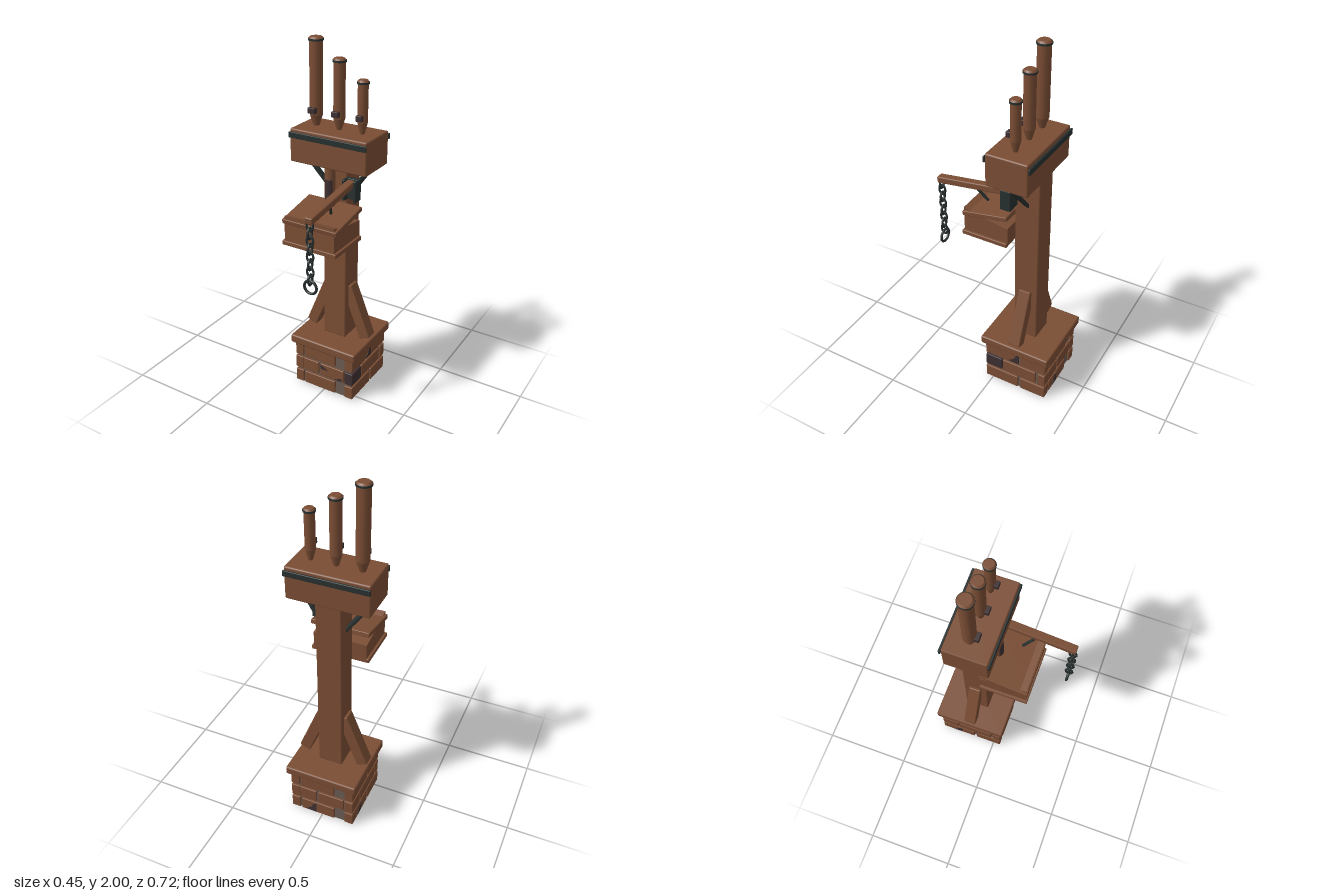
import * as THREE from 'three';
import { RoundedBoxGeometry } from 'three/addons/geometries/RoundedBoxGeometry.js';

const material = (name, color) => {
  const m = new THREE.MeshStandardMaterial({ color });
  m.name = name;
  return m;
};

export function createModel() {
  const model = new THREE.Group();
  model.name = 'whistlePost';
  const wood = material('rust brown', 0x7a4d34);
  const iron = material('dark iron', 0x27302f);
  const soot = material('sooty brown', 0x3d2f31);
  const mortar = material('grey mortar', 0x695b52);
  const V = (x, y, z) => new THREE.Vector3(x, y, z);

  const add = (name, geometry, mat, x = 0, y = 0, z = 0, parent = model) => {
    const mesh = new THREE.Mesh(geometry, mat);
    mesh.name = name;
    mesh.position.set(x, y, z);
    parent.add(mesh);
    return mesh;
  };
  // Bevelled box given by its limits on each axis
  const block = (name, mat, [x0, x1], [y0, y1], [z0, z1], bevel = 0.006, parent = model) =>
    add(name, new RoundedBoxGeometry(x1 - x0, y1 - y0, z1 - z0, 1, bevel), mat,
      (x0 + x1) / 2, (y0 + y1) / 2, (z0 + z1) / 2, parent);
  // Bevelled bar running between two points
  const bar = (name, mat, a, b, width, height, bevel = 0.004) => {
    const mesh = add(name, new RoundedBoxGeometry(width, height, a.distanceTo(b), 1, bevel), mat);
    mesh.position.copy(a).add(b).multiplyScalar(0.5);
    mesh.lookAt(b);
    return mesh;
  };

  // Brick plinth around a mortar core
  const cz = -0.147;
  const plinth = new THREE.Group();
  plinth.name = 'brickPlinth';
  plinth.position.z = cz;
  model.add(plinth);
  block('mortarCore', mortar, [-0.178, 0.178], [0, 0.275], [-0.178, 0.178], 0.002, plinth);
  const rows = [[0.005, 0.083], [0.097, 0.176], [0.19, 0.27]];
  const sideSpans = [[[-0.19, -0.032], [-0.018, 0.19]], [[-0.19, -0.145], [-0.13, 0.08], [0.085, 0.19]]];
  const frontSpans = [[[-0.128, 0.075]], [[-0.138, -0.035], [-0.022, 0.132]]];
  rows.forEach((row, r) => {
    for (const s of [1, -1]) {
      sideSpans[r % 2].forEach(([a, b], i) => {
        const dark = r === 1 && s === 1 && i === 2;
        const span = s > 0 ? [a, b] : [-b, -a];
        block('sideBrick', dark ? soot : wood, s > 0 ? [0.138, 0.19] : [-0.19, -0.138], row, span, 0.004, plinth);
      });
      frontSpans[r % 2].forEach(([a, b]) => {
        const span = s > 0 ? [a, b] : [-b, -a];
        block('faceBrick', wood, span, row, s > 0 ? [0.138, 0.19] : [-0.19, -0.138], 0.004, plinth);
      });
    }
  });
  // Soot stains on single bricks
  const stain = (points, x, y, z, turn) => {
    const shape = new THREE.Shape(points.map(([u, v]) => new THREE.Vector2(u, v)));
    const geometry = new THREE.ExtrudeGeometry(shape, { depth: 0.002, bevelEnabled: false });
    add('sootStain', geometry, soot, x, y, z, plinth).rotation.y = turn;
  };
  const wedge = [[-0.035, 0], [0.035, 0], [0.035, 0.07], [0.015, 0.055], [0, 0.025]];
  stain(wedge, 0.189, 0.195, 0.01, Math.PI / 2);
  stain(wedge, -0.189, 0.01, -0.1, -Math.PI / 2);
  stain(wedge, 0.07, 0.01, -0.189, Math.PI);
  stain([[-0.03, 0], [0.02, 0], [0.02, 0.025]], 0.1, 0.1, 0.189, 0);
  stain([[0, 0], [0.05, 0], [0, 0.03]], -0.02, 0.142, 0.189, 0);
  block('capSlab', wood, [-0.21, 0.21], [0.272, 0.323], [cz - 0.21, cz + 0.21], 0.009);

  // Post, foot braces and head straps
  block('post', wood, [-0.07, 0.07], [0.32, 1.368], [-0.215, -0.075], 0.007);
  for (const s of [1, -1]) {
    bar('footBrace', wood, V(s * 0.177, 0.332, -0.145), V(s * 0.055, 0.64, -0.145), 0.07, 0.065, 0.006);
    bar('headStrap', iron, V(s * 0.185, 1.365, -0.107), V(s * 0.06, 1.2, -0.14), 0.035, 0.018);
  }

  // Wind chest with iron bands
  block('windChest', wood, [-0.225, 0.225], [1.366, 1.546], [-0.226, 0.006], 0.008);
  for (const z of [-0.234, 0.009]) {
    block('chestBand', iron, [-0.227, 0.227], [1.498, 1.53], [z - 0.005, z + 0.006], 0.003);
  }

  // Three pipes with tapered feet, collars, caps and mouths
  const pipes = [[-0.137, 0.035, 2.0], [0, 0.031, 1.91], [0.135, 0.027, 1.82]];
  for (const [x, r, top] of pipes) {
    const pipe = new THREE.Group();
    pipe.name = 'pipe';
    pipe.position.set(x, 0, -0.112);
    model.add(pipe);
    const turned = (name, mat, rTop, rBottom, y0, y1) =>
      add(name, new THREE.CylinderGeometry(rTop, rBottom, y1 - y0, 16), mat, 0, (y0 + y1) / 2, 0, pipe);
    turned('pipeFoot', wood, r, r * 0.4, 1.54, 1.605);
    turned('pipeBody', wood, r, r, 1.605, top - 0.01);
    turned('pipeCollar', iron, r + 0.005, r + 0.005, top - 0.019, top - 0.009);
    turned('pipeCap', wood, r * 0.85, r + 0.003, top - 0.009, top);
    block('pipeMouth', soot, [-r * 0.62, r * 0.62], [1.617, 1.647], [r - 0.008, r + 0.018], 0.003, pipe);
  }

  // Bellows: bottom board, wedge body and tilted lid
  block('bellowsBoard', wood, [-0.163, 0.163], [0.973, 0.998], [-0.076, 0.188], 0.004);
  const side = new THREE.Shape([[-0.076, 0.995], [0.18, 0.995], [0.18, 1.138], [0.1, 1.112], [-0.076, 1.085]]
    .map(([z, y]) => new THREE.Vector2(z, y)));
  const body = new THREE.ExtrudeGeometry(side, { depth: 0.3, bevelEnabled: false });
  body.rotateY(-Math.PI / 2);
  add('bellowsBody', body, wood, 0.15);
  bar('bellowsLid', wood, V(0, 1.152, -0.078), V(0, 1.106, 0.184), 0.326, 0.026);

  // Wind pipe between bellows and chest
  add('windPipe', new THREE.CylinderGeometry(0.026, 0.026, 0.27, 12), wood, 0, 1.235, -0.026);
  add('windPipeSleeve', new THREE.CylinderGeometry(0.028, 0.028, 0.14, 12, 1, true, -1, 2), soot, 0, 1.235, -0.026);

  // Pump lever in its bracket, with a push rod to the lid
  for (const x of [0.074, 0.139]) {
    block('leverBracket', iron, [x - 0.008, x + 0.008], [1.195, 1.31], [-0.085, -0.032], 0.003);
  }
  block('bracketPlate', iron, [0.066, 0.147], [1.195, 1.31], [-0.09, -0.066], 0.003);
  bar('lever', wood, V(0.109, 1.293, -0.058), V(0.109, 1.238, 0.352), 0.044, 0.036, 0.006);
  bar('pushRod', iron, V(0.1, 1.25, 0.14), V(0.07, 1.165, 0.08), 0.013, 0.013, 0.003);

  // Pull chain of alternating links with a ring
  for (let i = 0; i < 8; i++) {
    const link = add('chainLink', new THREE.TorusGeometry(0.019, 0.006, 6, 14), iron, 0.109, 1.212 - i * 0.0425, 0.338);
    link.scale.y = 1.45;
    link.rotation.y = i % 2 ? Math.PI / 2 : 0;
  }
  add('pullRing', new THREE.TorusGeometry(0.036, 0.007, 8, 24), iron, 0.109, 0.872, 0.338);
  return model;
}
